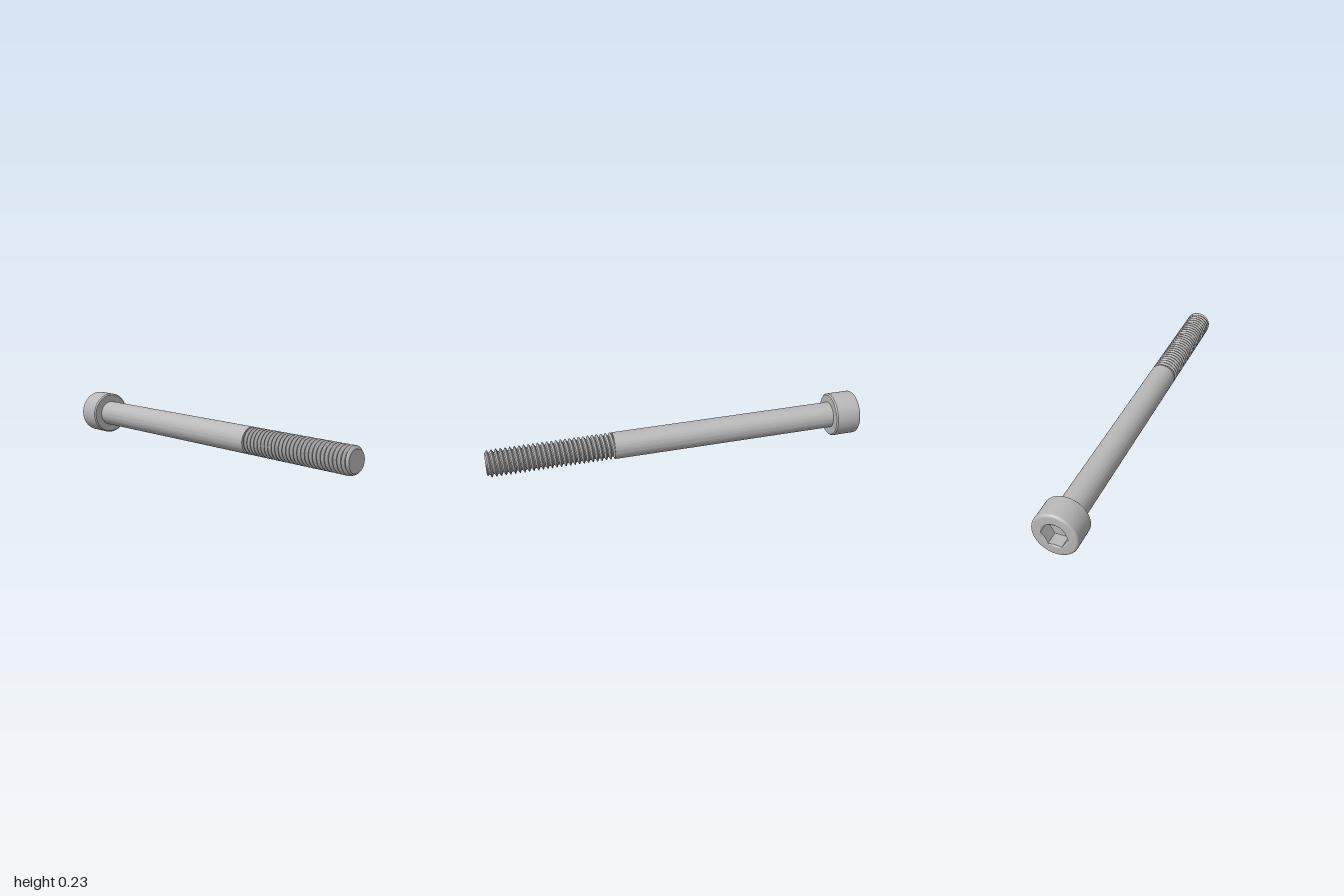
import * as THREE from 'three';
import { toCreasedNormals } from 'three/addons/utils/BufferGeometryUtils.js';

const SEG = 72;
const HEAD_R = 0.1163, SHANK_R = 0.0698, ROOT_R = 0.0555;
const UNDER_HEAD = -0.8605, THREAD_START = 0.35, PITCH = 0.02326;
const SOCKET_FLAT = 0.0581, SINK_R = 0.068, SOCKET_FLOOR = -0.93;

// Skin around the z axis: rows are functions of angle giving [radius, z]
function loft(rows, crease) {
  const pos = [];
  const ring = rows.map((row) => Array.from({ length: SEG + 1 }, (_, j) => {
    const a = (j / SEG) * Math.PI * 2;
    const [r, z] = row(a);
    return new THREE.Vector3(r * Math.cos(a), r * Math.sin(a), z);
  }));
  const tri = new THREE.Triangle();
  const add = (a, b, c) => {
    tri.set(a, b, c);
    if (tri.getArea() > 1e-10) for (const p of [a, b, c]) pos.push(p.x, p.y, p.z);
  };
  for (let i = 0; i < rows.length - 1; i++) {
    for (let j = 0; j < SEG; j++) {
      const a = ring[i][j], b = ring[i][j + 1], c = ring[i + 1][j + 1], d = ring[i + 1][j];
      add(a, b, c);
      add(a, c, d);
    }
  }
  const geo = new THREE.BufferGeometry();
  geo.setAttribute('position', new THREE.Float32BufferAttribute(pos, 3));
  return toCreasedNormals(geo, crease);
}

const circle = (r, z) => () => [r, z];

// Hexagon radius at an angle, with flats at top and bottom
function hexRadius(a) {
  const step = Math.PI / 3;
  return SOCKET_FLAT / Math.cos((a % step) - step / 2);
}

// Thread profile: flat crest, sloping flank, flat root, sloping flank
function threadRadius(a, z) {
  let f = (z - THREAD_START) / PITCH - a / (Math.PI * 2);
  f -= Math.floor(f);
  let depth = 1;
  if (f < 0.125) depth = 0;
  else if (f < 0.4375) depth = (f - 0.125) / 0.3125;
  else if (f > 0.6875) depth = (1 - f) / 0.3125;
  const r = SHANK_R - (SHANK_R - ROOT_R) * depth;
  return Math.min(r, ROOT_R + (1 - z)); // chamfered tip
}

export function createModel() {
  const steel = new THREE.MeshStandardMaterial({ color: 0xb8b8b8 });
  steel.name = 'steel grey';
  const model = new THREE.Group();
  model.name = 'socketHeadScrew';
  const add = (name, geo) => {
    const mesh = new THREE.Mesh(geo, steel);
    mesh.name = name;
    mesh.position.y = HEAD_R;
    model.add(mesh);
  };

  // Hexagonal socket with a conical countersink
  add('hexSocket', loft([
    circle(0, SOCKET_FLOOR),
    (a) => [hexRadius(a), SOCKET_FLOOR],
    (a) => [hexRadius(a), -1 + (SINK_R - hexRadius(a)) * 0.577],
    circle(SINK_R, -1),
  ], 0.4));

  // Head: rounded outer rim, straight side, chamfered underside
  const fillet = 0.013, chamfer = 0.0068;
  const head = [circle(SINK_R, -1)];
  for (let i = 0; i <= 6; i++) {
    const t = (i / 6) * Math.PI / 2;
    head.push(circle(HEAD_R - fillet * (1 - Math.sin(t)), -1 + fillet * (1 - Math.cos(t))));
  }
  head.push(
    circle(HEAD_R, UNDER_HEAD - chamfer),
    circle(HEAD_R - chamfer, UNDER_HEAD),
    circle(SHANK_R - 0.005, UNDER_HEAD),
  );
  add('head', loft(head, 0.5));

  // Plain shank with a closed shoulder where the thread begins
  add('shank', loft([
    circle(SHANK_R, UNDER_HEAD - 0.002),
    circle(SHANK_R, THREAD_START),
    circle(ROOT_R - 0.005, THREAD_START),
  ], 0.5));

  // Right-hand helical thread, trimmed flat at both ends
  const marks = [0, 0.125, 0.23, 0.33, 0.4375, 0.6875, 0.79, 0.9];
  const turns = Math.ceil((1 - THREAD_START) / PITCH) + 1;
  const thread = [];
  for (let k = -1; k < turns; k++) {
    for (const f of marks) {
      thread.push((a) => {
        const raw = THREAD_START + PITCH * (k + f + a / (Math.PI * 2));
        const z = THREE.MathUtils.clamp(raw, THREAD_START, 1);
        return [threadRadius(a, z), z];
      });
    }
  }
  add('thread', loft(thread, 0.5));

  // Flat tip
  add('tip', loft([circle(ROOT_R, 1), circle(0, 1)], 0.5));

  return model;
}
